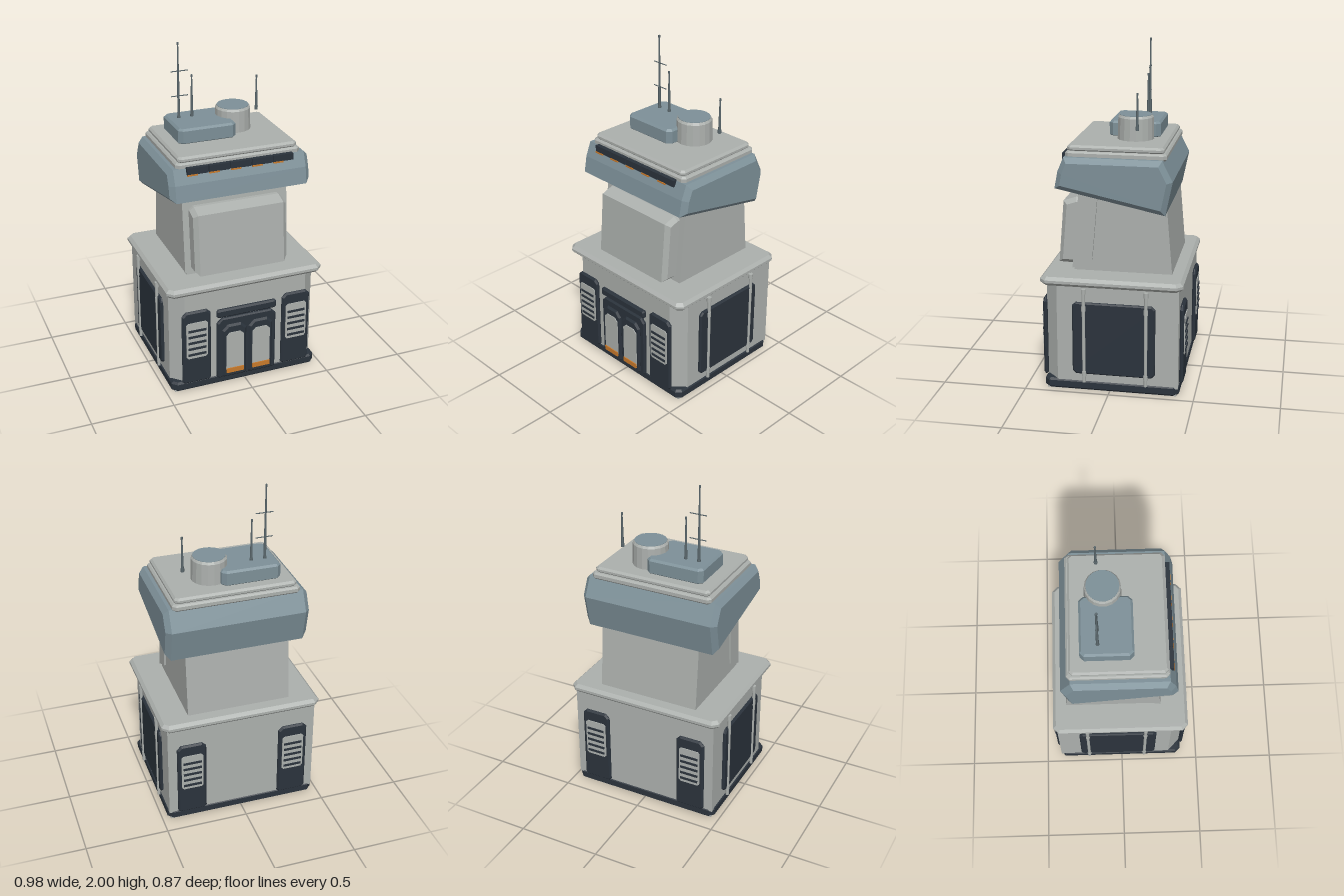
import * as THREE from 'three';

const mat = (name, color) => Object.assign(new THREE.MeshStandardMaterial({ color }), { name });

export function createModel() {
  const model = new THREE.Group();
  model.name = 'controlTower';
  const grey = mat('wallGrey', 0xacb0ad);
  const blue = mat('slateBlue', 0x7d9098);
  const dark = mat('darkNavy', 0x2b333c);
  const orange = mat('signalOrange', 0xc97a2b);
  const steel = mat('antennaSteel', 0x5b686d);

  const add = (name, geometry, material, parent = model) => {
    const mesh = new THREE.Mesh(geometry, material);
    mesh.name = name;
    parent.add(mesh);
    return mesh;
  };

  // Outline extruded from z = 0 to z = depth, with a flat bevel kept inside it
  const prism = (pts, depth, bevel = 0) => new THREE.ExtrudeGeometry(
    new THREE.Shape(pts.map(([x, y]) => new THREE.Vector2(x, y))), {
      depth: depth - 2 * bevel, bevelEnabled: bevel > 0, bevelSegments: 1,
      bevelSize: bevel, bevelThickness: bevel, bevelOffset: -bevel,
    }).translate(0, 0, bevel);

  // Rectangle with cut corners; low and high set the two cut sizes
  const cutRect = (x0, x1, y0, y1, low, high = low) => [
    [x0 + low, y0], [x1 - low, y0], [x1, y0 + low], [x1, y1 - high],
    [x1 - high, y1], [x0 + high, y1], [x0, y1 - high], [x0, y0 + low]];

  // Horizontal slab from an x/z outline
  const slab = (pts, y0, y1, bevel) => prism(pts.map(([x, z]) => [x, -z]), y1 - y0, bevel)
    .rotateX(-Math.PI / 2).translate(0, y0, 0);

  // Side profile given as z/y, extruded across x and centred
  const across = (pts, width, bevel) => prism(pts, width, bevel)
    .rotateY(-Math.PI / 2).translate(width / 2, 0, 0);

  const facing = (pts, z0, z1, bevel) => prism(pts, z1 - z0, bevel).translate(0, 0, z0);

  // Ground storey
  add('underside', new THREE.BoxGeometry(0.9, 0.012, 0.77).translate(0, 0.006, -0.01), grey);
  add('plinth', slab(cutRect(-0.467, 0.467, -0.41, 0.39, 0.03), 0.004, 0.065, 0.012), dark);
  add('groundWalls', slab([[-0.46, -0.405], [0.46, -0.405], [0.46, 0.31],
    [0.385, 0.385], [-0.385, 0.385], [-0.46, 0.31]], 0.05, 0.66), grey);
  add('cornice', slab(cutRect(-0.49, 0.49, -0.427, 0.408, 0.035), 0.65, 0.702, 0.018), grey);

  // Vent cabinets, two in front and two behind
  const addVent = (x, parent) => {
    add('ventCabinet', facing(cutRect(x - 0.09, x + 0.09, 0.06, 0.545, 0.012, 0.025), 0, 0.025, 0.01), dark, parent);
    add('ventGrille', facing(cutRect(x - 0.067, x + 0.067, 0.235, 0.475, 0.012), 0.02, 0.03), grey, parent);
    for (let i = 0; i < 5; i++) {
      add('ventSlot', new THREE.BoxGeometry(0.112, 0.014, 0.007)
        .translate(x, 0.262 + i * 0.04, 0.0315), dark, parent);
    }
  };
  for (const [name, z, turn] of [['frontVents', 0.382, 0], ['backVents', -0.403, Math.PI]]) {
    const vents = new THREE.Group();
    vents.name = name;
    vents.position.z = z;
    vents.rotation.y = turn;
    for (const s of [-1, 1]) addVent(s * 0.318, vents);
    model.add(vents);
  }

  // Entrance with a pair of doors
  add('doorFrame', facing(cutRect(-0.188, 0.188, 0.05, 0.46, 0.01, 0.03), 0.38, 0.406, 0.008), dark);
  add('lintel', facing(cutRect(-0.19, 0.19, 0.468, 0.522, 0.01), 0.38, 0.41, 0.01), dark);
  for (const s of [-1, 1]) {
    const x = s * 0.084;
    add('doorSurround', facing(cutRect(x - 0.077, x + 0.077, 0.06, 0.42, 0.01, 0.035), 0.4, 0.424, 0.012), dark);
    add('doorLeaf', facing(cutRect(x - 0.056, x + 0.056, 0.1, 0.37, 0.01, 0.022), 0.42, 0.429), grey);
    add('doorKickPlate', new THREE.BoxGeometry(0.112, 0.03, 0.009).translate(x, 0.11, 0.4305), orange);
  }

  // Side panels and pipes
  for (const s of [-1, 1]) {
    const panel = prism(cutRect(-0.27, 0.217, 0.11, 0.555, 0.02), 0.03, 0.008);
    // Mirror in z so the outline lands the same way on both sides
    if (s > 0) panel.rotateY(-Math.PI / 2).translate(0.477, 0, 0);
    else panel.rotateY(-Math.PI / 2).translate(-0.447, 0, 0);
    add('sidePanel', panel, dark);
    for (const z of [0.148, -0.217]) {
      add('sidePipe', new THREE.CylinderGeometry(0.01, 0.01, 0.58, 10).translate(s * 0.476, 0.35, z), grey);
      for (const y of [0.115, 0.52, 0.625]) {
        add('pipeCollar', new THREE.CylinderGeometry(0.014, 0.014, 0.03, 10).translate(s * 0.474, y, z), grey);
      }
    }
  }

  // Tower shaft
  add('shaft', across([[-0.345, 0.7], [0.235, 0.7], [0.195, 1.22], [-0.3, 1.22]], 0.63), grey);
  add('shaftCollar', across([[0.243, 0.715], [0.125, 0.77], [0.088, 1.2], [0.2, 1.2]], 0.655), grey);
  add('frontSlab', across([[0.2, 0.725], [0.335, 0.73], [0.305, 1.105], [0.23, 1.13], [0.18, 1.13]], 0.58, 0.025), grey);

  // Control cabin with a slanted underside
  add('cabin', across([[0.272, 1.395], [0.307, 1.31], [0.325, 1.212], [-0.312, 1.078],
    [-0.352, 1.275], [-0.292, 1.395]], 0.86, 0.03), blue);
  add('roofRim', slab(cutRect(-0.38, 0.38, -0.313, 0.27, 0.02), 1.385, 1.425, 0.01), grey);
  add('roofPlate', slab(cutRect(-0.365, 0.365, -0.297, 0.262, 0.02), 1.42, 1.457, 0.012), grey);

  // Window band with lamp strips
  for (let i = 0; i < 5; i++) {
    const x = -0.262 + i * 0.131;
    add('window', new THREE.BoxGeometry(0.125, 0.04, 0.03).translate(x, 1.382, 0.281), dark);
    add('lampStrip', new THREE.BoxGeometry(0.062, 0.008, 0.009).translate(x - 0.031, 1.36, 0.296), orange);
  }
  add('windowBack', new THREE.BoxGeometry(0.65, 0.036, 0.02).translate(0, 1.382, 0.276), dark);

  // Roof equipment
  add('roofBox', slab(cutRect(-0.29, 0.065, -0.233, 0.072, 0.025), 1.45, 1.546, 0.012), blue);
  const drum = new THREE.Group();
  drum.name = 'roofDrum';
  drum.position.set(0.103, 0, -0.095);
  model.add(drum);
  const profile = [[0.108, 1.45], [0.104, 1.585], [0.094, 1.6]].map(p => new THREE.Vector2(...p));
  add('drumWall', new THREE.LatheGeometry(profile, 18).toNonIndexed(), grey, drum).geometry.computeVertexNormals();
  add('drumLid', new THREE.CylinderGeometry(0.095, 0.095, 0.006, 18).translate(0, 1.598, 0), blue, drum);

  // Antennas
  for (const [x, top] of [[-0.222, 2], [-0.14, 1.8], [0.27, 1.75]]) {
    const h = top - 1.535;
    add('antennaMast', new THREE.CylinderGeometry(0.004, 0.009, h, 8).translate(x, 1.535 + h / 2, -0.13), steel);
    add('antennaBase', new THREE.CylinderGeometry(0.011, 0.011, 0.02, 8).translate(x, 1.547, -0.13), steel);
    add('antennaTip', new THREE.CylinderGeometry(0.006, 0.006, 0.015, 8).translate(x, top - 0.0075, -0.13), steel);
  }
  for (const y of [1.68, 1.83]) {
    add('antennaCrossbar', new THREE.CylinderGeometry(0.003, 0.003, 0.104, 6)
      .rotateZ(Math.PI / 2).translate(-0.215, y, -0.13), steel);
  }

  return model;
}
